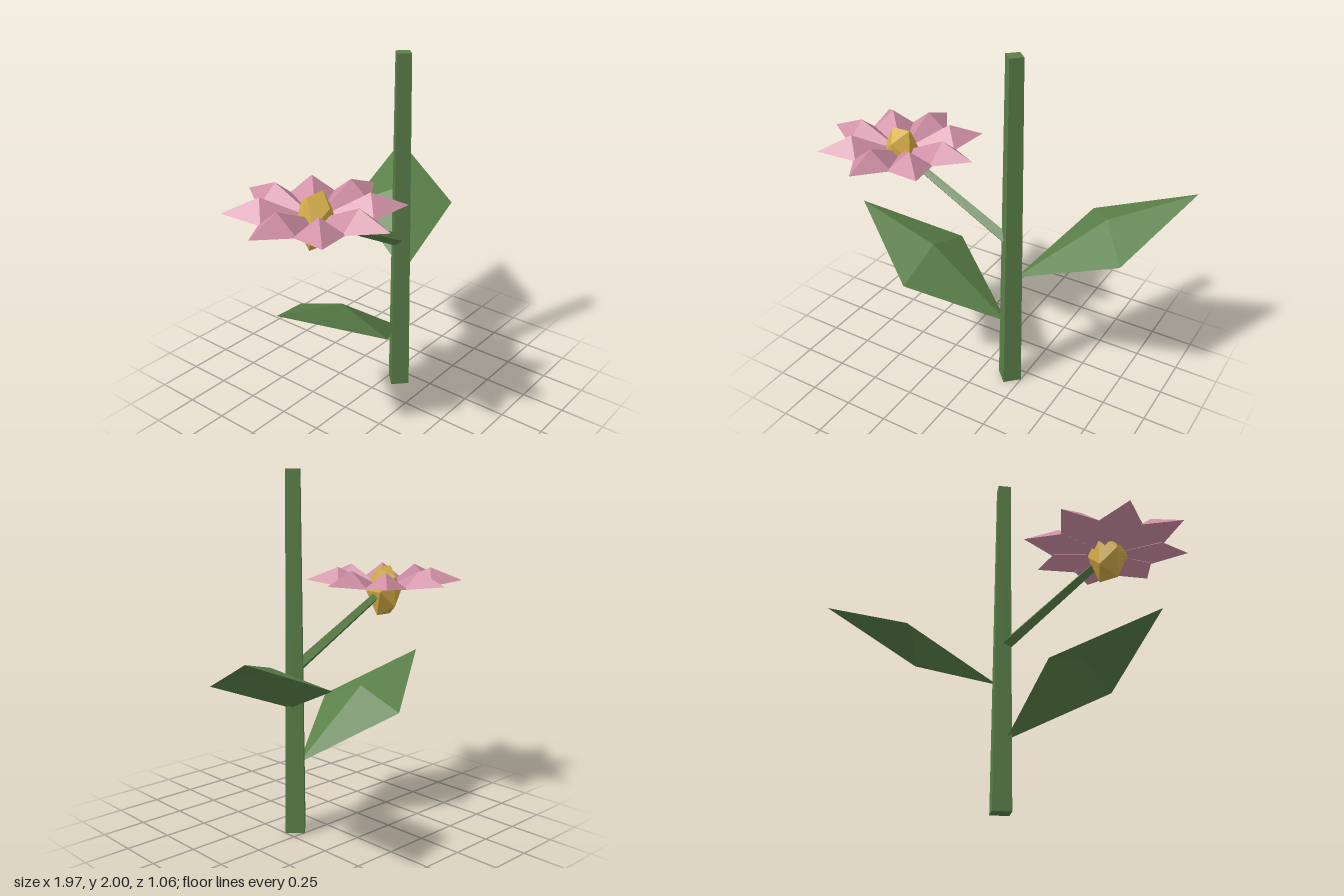
import * as THREE from 'three';

const material = (name, color, extra = {}) =>
  new THREE.MeshStandardMaterial({ name, color, flatShading: true, ...extra });

// Folded kite along +x: base at the origin, raised midrib, two side corners and a tip
function bladeGeometry({ length, rise, shoulderX, shoulderY, halfWidth, midY }) {
  const base = [0, 0, 0], tip = [length, rise, 0], mid = [shoulderX, midY, 0];
  const near = [shoulderX, shoulderY, halfWidth], far = [shoulderX, shoulderY, -halfWidth];
  const faces = [base, near, mid, near, tip, mid, tip, far, mid, far, base, mid];
  const geometry = new THREE.BufferGeometry();
  geometry.setAttribute('position', new THREE.Float32BufferAttribute(faces.flat(), 3));
  geometry.computeVertexNormals();
  return geometry;
}

export function createModel() {
  const group = new THREE.Group();
  const green = material('leaf green', 0x5b8049);
  const leafGreen = green;
  green.side = THREE.DoubleSide;
  const pink = material('petal pink', 0xcf8fa4, { side: THREE.DoubleSide });
  const gold = material('flower gold', 0xd6ad48);

  const add = (name, geometry, mat, parent = group) => {
    const mesh = new THREE.Mesh(geometry, mat);
    mesh.name = name;
    parent.add(mesh);
    return mesh;
  };

  // Tapered square rod between two points
  const rod = (name, from, to, r0, r1) => {
    const dir = to.clone().sub(from);
    const mesh = add(name, new THREE.CylinderGeometry(r1, r0, dir.length(), 4), green);
    mesh.position.copy(from).addScaledVector(dir, 0.5);
    mesh.quaternion.setFromUnitVectors(new THREE.Vector3(0, 1, 0), dir.normalize());
  };
  rod('stem', new THREE.Vector3(0.175, 0, 0.07), new THREE.Vector3(0.175, 2, 0.07), 0.075, 0.053);
  rod('flowerStalk', new THREE.Vector3(0.14, 0.95, 0.07), new THREE.Vector3(-0.53, 1.305, 0.07), 0.036, 0.025);

  // Leaves
  const leaf = (name, x, y, rise, angle) => {
    const geometry = bladeGeometry({
      length: 0.98, rise, shoulderX: 0.49, shoulderY: rise / 2, halfWidth: 0.305, midY: rise / 2 + 0.107,
    });
    const mesh = add(name, geometry, leafGreen);
    mesh.position.set(x, y, 0.07);
    mesh.rotation.y = angle;
  };
  leaf('lowerLeaf', 0.147, 0.39, 0.51, Math.PI);
  leaf('upperLeaf', 0.205, 0.72, 0.46, 0.657);

  // Flower: eight folded petals around a stretched core
  const flower = new THREE.Group();
  flower.name = 'flower';
  flower.position.set(-0.53, 1.298, 0.07);
  group.add(flower);
  const petal = bladeGeometry({
    length: 0.458, rise: 0.052, shoulderX: 0.27, shoulderY: 0.03, halfWidth: 0.123, midY: 0.127,
  });
  for (let i = 0; i < 8; i++) {
    const mesh = add('petal', petal, pink, flower);
    mesh.position.y = 0.01;
    mesh.rotation.y = (i * Math.PI) / 4;
  }
  const core = add('flowerCore', new THREE.IcosahedronGeometry(1, 0), gold, flower);
  core.scale.set(0.107, 0.168, 0.107);

  return group;
}
